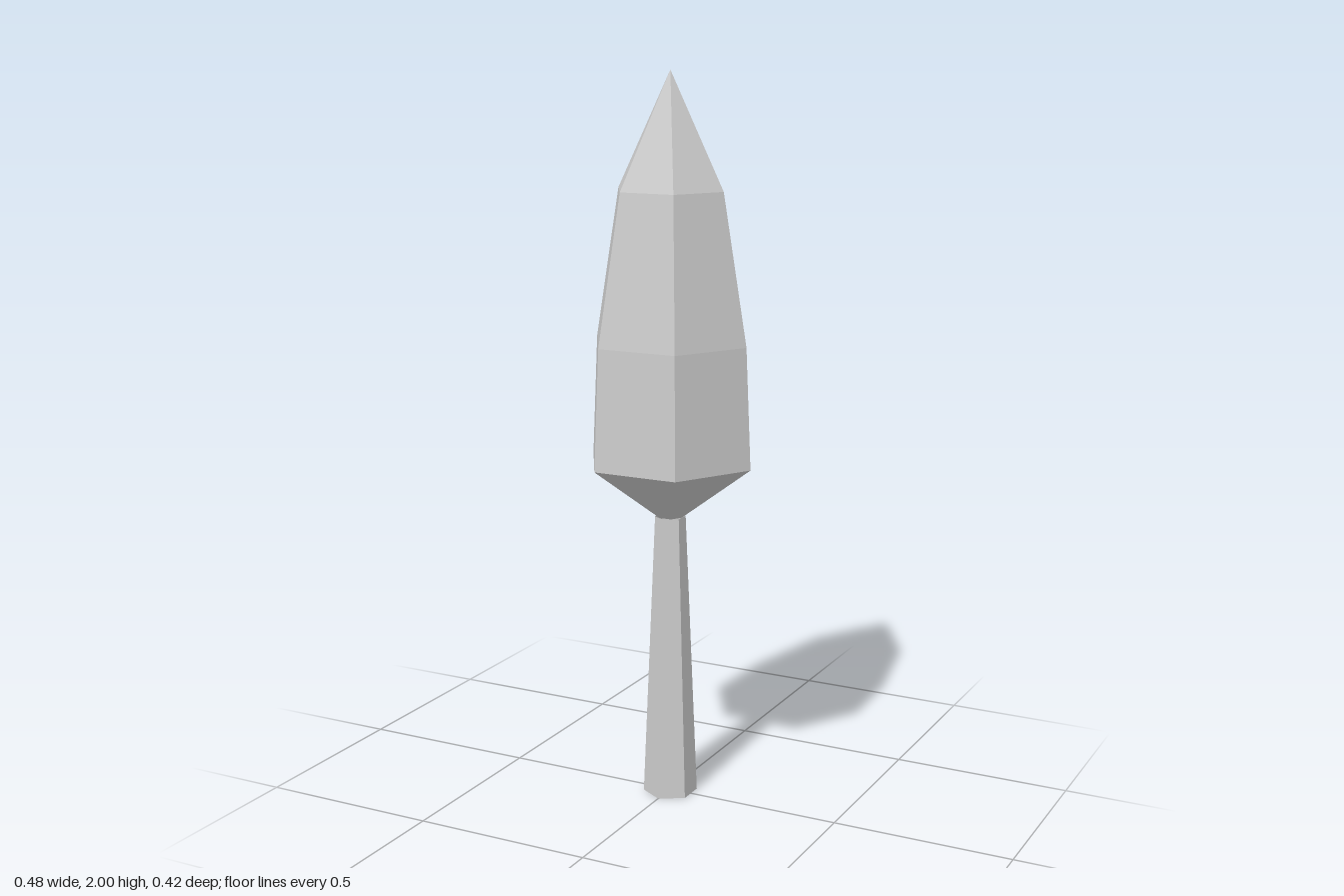
import * as THREE from 'three';

const SIDES = 6;

// Six-sided faceted shell from [radius, height] pairs, listed bottom to top
function facetedShell(name, profile, phiStart, material) {
  const points = profile.map(([r, y]) => new THREE.Vector2(r, y));
  const mesh = new THREE.Mesh(new THREE.LatheGeometry(points, SIDES, phiStart), material);
  mesh.name = name;
  return mesh;
}

export function createModel() {
  const material = new THREE.MeshStandardMaterial({
    color: 0xcccccc, flatShading: true, side: THREE.DoubleSide,
  });
  const tree = new THREE.Group();
  tree.name = 'tree';

  // Tapered trunk, open at the base, with corners on the z axis
  tree.add(facetedShell('trunk', [[0.075, 0], [0.042, 0.8]], 0, material));

  // Pointed crown, with corners on the x axis
  tree.add(facetedShell('crown', [
    [0.035, 0.8], [0.24, 0.955], [0.225, 1.285], [0.156, 1.69], [0, 2],
  ], Math.PI / 2, material));

  return tree;
}
